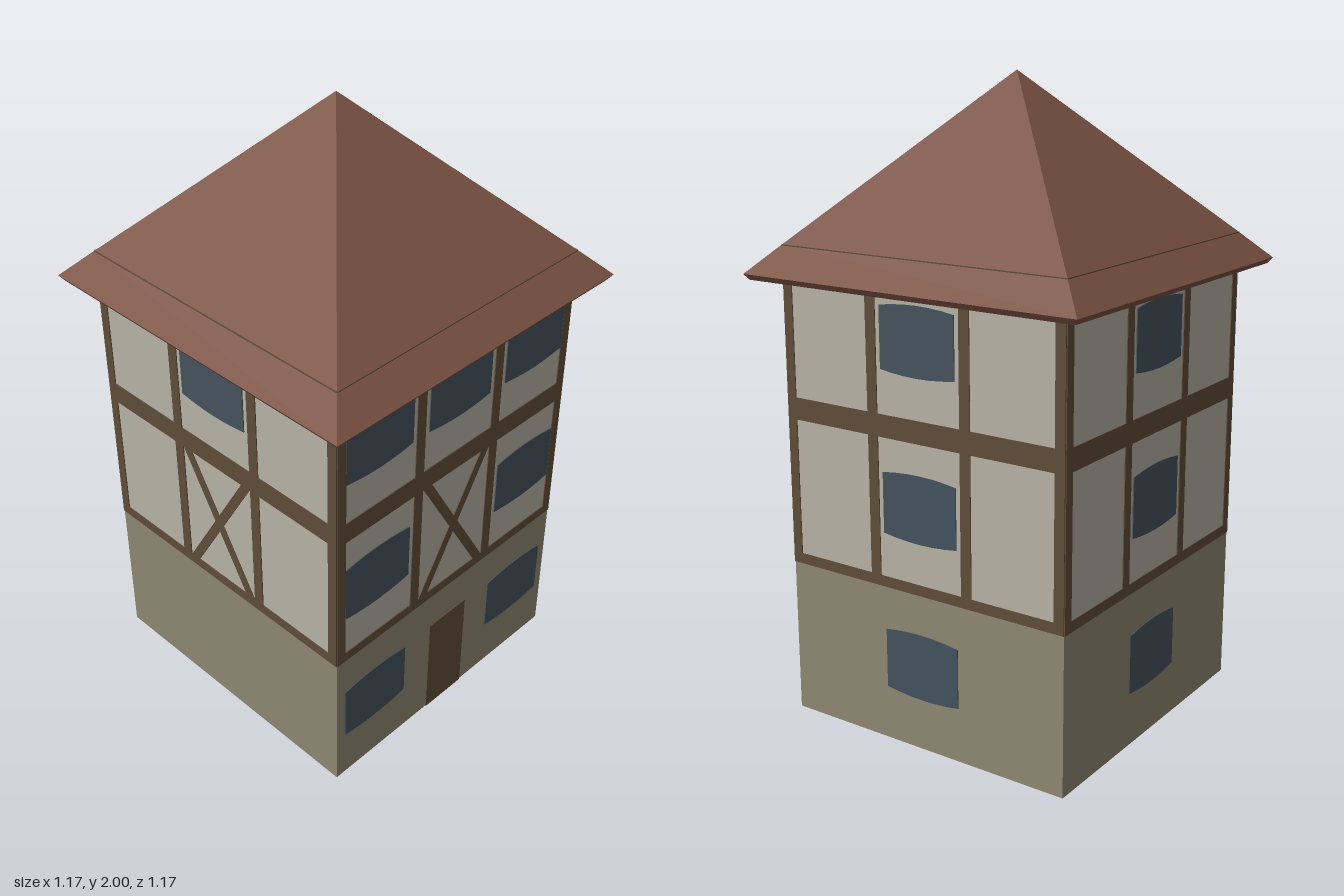
import * as THREE from 'three';

const HALF = 0.5;      // half width of the house
const THICK = 0.003;   // thickness of timber, window and door plates

const flat = (name, color, side = THREE.FrontSide) =>
  new THREE.MeshStandardMaterial({ name, color, side, flatShading: true });

export function createModel() {
  const plaster = flat('plaster', 0xb5b1a4, THREE.DoubleSide);
  const stone = flat('stone', 0x8d8671, THREE.DoubleSide);
  const timber = flat('timber', 0x5f4c37);
  const glass = flat('glass', 0x44525c);
  const tile = flat('roof tile', 0x7a5243, THREE.DoubleSide);

  const house = new THREE.Group();
  house.name = 'house';

  // Square shell from a profile of [half width, height] pairs
  const squareShell = (name, profile, material) => {
    const points = profile.map(([h, y]) => new THREE.Vector2(h * Math.SQRT2, y));
    const mesh = new THREE.Mesh(new THREE.LatheGeometry(points, 4, Math.PI / 4), material);
    mesh.name = name;
    house.add(mesh);
  };

  // Walls are open at the bottom; the roof has a thin sloping eave
  squareShell('groundFloorWalls', [[HALF, 0], [HALF, 0.5]], stone);
  squareShell('upperWalls', [[HALF, 0.5], [HALF, 1.5]], plaster);
  squareShell('eaves', [[0.5, 1.47], [0.57, 1.397], [0.583, 1.415], [0.5, 1.5]], tile);
  squareShell('roof', [[0.5, 1.5], [0, 2]], tile);

  // Thin plates lying on a wall that faces +z
  const addPlate = (wall, name, shape, material) => {
    const geometry = new THREE.ExtrudeGeometry(shape, { depth: THICK, bevelEnabled: false, curveSegments: 6 });
    const mesh = new THREE.Mesh(geometry, material);
    mesh.name = name;
    mesh.position.z = HALF;
    wall.add(mesh);
  };
  const polygon = (...corners) => new THREE.Shape(corners.map(([x, y]) => new THREE.Vector2(x, y)));
  const rect = (x0, y0, x1, y1) => polygon([x0, y0], [x1, y0], [x1, y1], [x0, y1]);

  // Window with slightly bowed top and bottom edges
  const addWindow = (wall, x, y) => {
    const w = 0.133, h = 0.094, bow = 0.022;
    const s = new THREE.Shape();
    s.moveTo(x - w, y - h);
    s.quadraticCurveTo(x, y - h - bow, x + w, y - h);
    s.lineTo(x + w, y + h);
    s.quadraticCurveTo(x, y + h + bow, x - w, y + h);
    addPlate(wall, 'window', s, glass);
  };

  const addFrame = (wall) => {
    const beams = [[0.5, 0.533], [0.967, 1.036], [1.467, 1.5]];
    for (const [y0, y1] of beams) addPlate(wall, 'beam', rect(-HALF, y0, HALF, y1), timber);
    // Posts fill the spaces between the beams
    for (const [y0, y1] of [[0.533, 0.967], [1.036, 1.467]]) {
      for (const [x0, x1] of [[-0.5, -0.467], [-0.185, -0.149], [0.149, 0.185], [0.467, 0.5]]) {
        addPlate(wall, 'post', rect(x0, y0, x1, y1), timber);
      }
    }
  };

  const addCrossBrace = (wall) => {
    for (const s of [-1, 1]) {
      const a = s * 0.128, w = 0.018;
      addPlate(wall, 'crossBrace',
        polygon([-a - w, 0.533], [-a + w, 0.533], [a + w, 0.967], [a - w, 0.967]), timber);
    }
  };

  // Window centres by storey
  const LOW = 0.268, MID = 0.766, TOP = 1.266, SIDE = 0.333;
  const middleColumn = [[0, LOW], [0, MID], [0, TOP]];
  const walls = [
    { name: 'frontWall', turn: 0, brace: true, door: true,
      windows: [[-SIDE, LOW], [SIDE, LOW], [-SIDE, MID], [SIDE, MID], [-SIDE, TOP], [0, TOP], [SIDE, TOP]] },
    { name: 'leftWall', turn: Math.PI / 2, windows: middleColumn },
    { name: 'backWall', turn: Math.PI, windows: middleColumn },
    { name: 'rightWall', turn: -Math.PI / 2, brace: true, windows: [[0, TOP]] },
  ];

  for (const { name, turn, brace, door, windows } of walls) {
    const wall = new THREE.Group();
    wall.name = name;
    wall.rotation.y = turn;
    addFrame(wall);
    for (const [x, y] of windows) addWindow(wall, x, y);
    if (brace) addCrossBrace(wall);
    if (door) addPlate(wall, 'door', rect(-0.084, 0, 0.084, 0.37), timber);
    house.add(wall);
  }

  return house;
}
